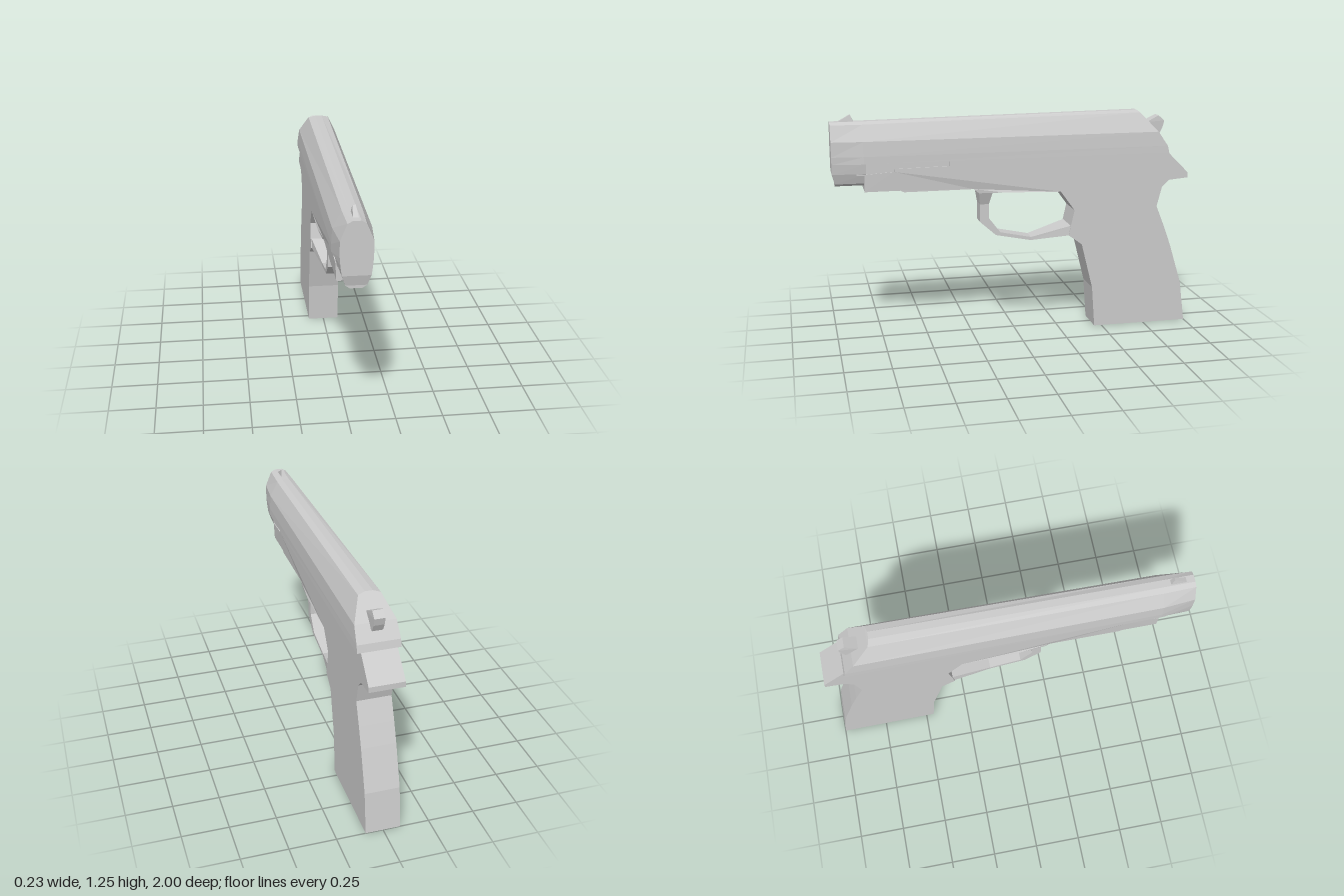
import * as THREE from 'three';

const material = new THREE.MeshStandardMaterial({ color: 0xcccccc, flatShading: true });

function addMesh(group, name, geometry) {
  const mesh = new THREE.Mesh(geometry, material);
  mesh.name = name;
  group.add(mesh);
}

// Side profile of [z, y] points given a half width, which may vary by (z, y)
function sideExtrude(profile, halfWidth) {
  const shape = new THREE.Shape(profile.map(([z, y]) => new THREE.Vector2(z, y)));
  const geo = new THREE.ExtrudeGeometry(shape, { depth: 2, bevelEnabled: false });
  geo.translate(0, 0, -1).rotateY(-Math.PI / 2);
  const pos = geo.attributes.position;
  for (let i = 0; i < pos.count; i++) {
    pos.setX(i, Math.sign(pos.getX(i)) * halfWidth(pos.getZ(i), pos.getY(i)));
  }
  geo.computeVertexNormals();
  return geo;
}

// Skin over mirrored rings; each ring is its right half as [x, y, z] points
function loft(halves) {
  const rings = halves.map(h => [...h, ...h.map(([x, y, z]) => [-x, y, z]).reverse()]);
  const n = rings[0].length, out = [];
  const quad = (a, b, c, d) => out.push(...a, ...b, ...c, ...a, ...c, ...d);
  for (let r = 0; r < rings.length - 1; r++) {
    const a = rings[r], b = rings[r + 1];
    for (let i = 0; i < n; i++) {
      const j = (i + 1) % n;
      quad(a[i], b[i], b[j], a[j]);
    }
  }
  // End caps, as strips between the two sides
  const first = rings[0], last = rings[rings.length - 1];
  for (let i = 0; i < n / 2 - 1; i++) {
    const p = n - 1 - i;
    quad(first[i], first[i + 1], first[p - 1], first[p]);
    quad(last[p], last[p - 1], last[i + 1], last[i]);
  }
  const geo = new THREE.BufferGeometry();
  geo.setAttribute('position', new THREE.Float32BufferAttribute(out, 3));
  geo.computeVertexNormals();
  return geo;
}

const atZ = (points, z) => points.map(([x, y]) => [x, y, z]);

export function createModel() {
  const model = new THREE.Group();
  model.name = 'pistol';

  // Frame and grip in one slab, slightly wider towards the back
  const frame = [
    [0.83, 0.94], [0.83, 0.845], [0.64, 0.845], [0.62, 0.835], [0.24, 0.835], [0.21, 0.81],
    [0.07, 0.81], [-0.25, 0.80], [-0.33, 0.69], [-0.31, 0.60], [-0.30, 0.545], [-0.375, 0.49],
    [-0.44, 0.23], [-0.457, 0], [-1, 0], [-0.97, 0.23], [-0.90, 0.46], [-0.86, 0.57],
    [-0.812, 0.69], [-0.84, 0.80], [-0.88, 0.84], [-0.99, 0.85], [-0.99, 0.88], [-0.87, 1],
    [0.37, 1], [0.37, 0.97], [0.67, 0.965], [0.67, 0.95],
  ];
  addMesh(model, 'frameAndGrip', sideExtrude(frame, (z, y) =>
    z > 0.2 && y < 0.9 ? 0.075 : 0.086 - 0.008 * z));

  // Slide with its tapered nose and sloping back
  const nose = [[0.077, 1], [0.08, 1.04], [0.08, 1.12], [0.045, 1.205], [0.02, 1.218]];
  const front = [[0.1, 1], [0.1, 1.04], [0.095, 1.12], [0.05, 1.205], [0.02, 1.218]];
  const back = [
    [0.113, 1, -0.87], [0.112, 1.04, -0.86], [0.107, 1.12, -0.805],
    [0.058, 1.225, -0.71], [0.02, 1.235, -0.70],
  ];
  addMesh(model, 'slide', loft([atZ(nose, 1), atZ(front, 0.83), back]));

  // Rounded lower half of the muzzle
  const muzzle = [[0.03, 0.875], [0.052, 0.89], [0.07, 0.945], [0.077, 1]];
  const muzzleBack = muzzle.map(([x, y]) => [x * 1.1, y]);
  const muzzleFront = muzzle.map(([x, y]) => [x, y, y < 0.94 ? 0.985 : 1]);
  addMesh(model, 'muzzle', loft([muzzleFront, atZ(muzzleBack, 0.82)]));

  // Rail under the slide, filling the step above the frame
  const rail = new THREE.BoxGeometry(0.15, 0.07, 0.52);
  rail.translate(0, 0.97, 0.61);
  addMesh(model, 'slideRail', rail);

  // Trigger guard: [half width, outer z, outer y, inner z, inner y]
  const guard = [
    [0.075, 0.21, 0.82, 0.13, 0.82],
    [0.045, 0.20, 0.74, 0.15, 0.74],
    [0.045, 0.20, 0.64, 0.15, 0.66],
    [0.045, 0.11, 0.56, 0.085, 0.575],
    [0.045, -0.09, 0.52, -0.09, 0.538],
    [0.083, -0.30, 0.545, -0.31, 0.60],
  ];
  addMesh(model, 'triggerGuard', loft(guard.map(([w, oz, oy, iz, iy]) =>
    [[w, oy, oz], [w, iy, iz]])));

  // Hammer at the back of the slide
  const hammer = [
    [-0.76, 1.165], [-0.83, 1.20], [-0.865, 1.17], [-0.855, 1.13], [-0.835, 1.09], [-0.78, 1.10],
  ];
  addMesh(model, 'hammer', sideExtrude(hammer, z => (z > -0.8 ? 0.034 : 0.028)));

  // Front sight blade, thinner at its peak
  const sight = [[0.97, 1.21], [0.89, 1.255], [0.87, 1.21]];
  addMesh(model, 'frontSight', sideExtrude(sight, (z, y) => (y > 1.23 ? 0.008 : 0.015)));

  return model;
}
